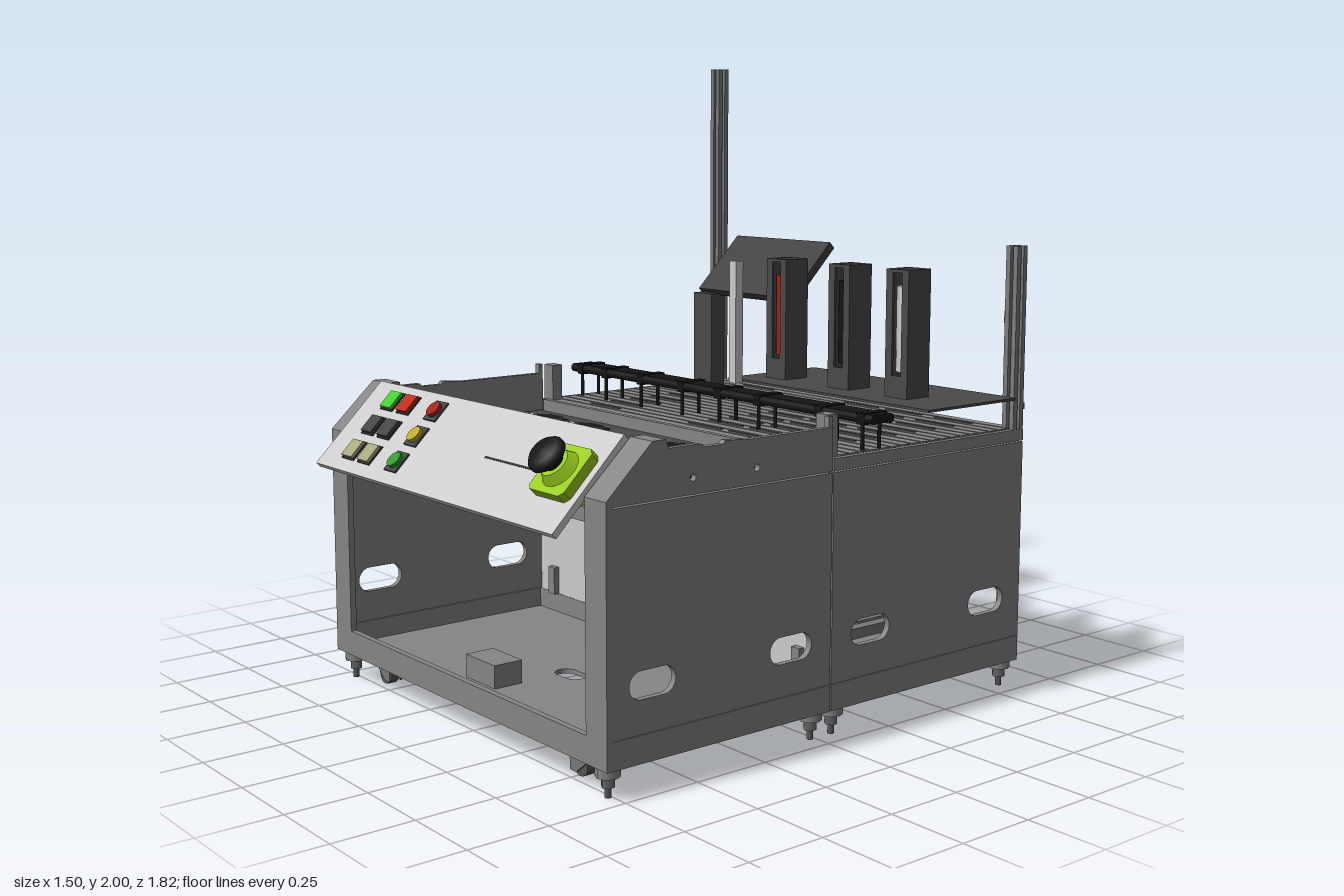
import * as THREE from 'three';

const mats = {};
const mat = (c = 0xcccccc) => (mats[c] ??= new THREE.MeshStandardMaterial({ color: c, side: THREE.DoubleSide }));
const WALL = 0x858585, DARK = 0x4a4a4a, BLACK = 0x151515, LIME = 0x9acd1e, RED = 0xa02015;

function add(parent, name, geo, color, x = 0, y = 0, z = 0) {
  const m = new THREE.Mesh(geo, mat(color));
  m.name = name;
  m.position.set(x, y, z);
  parent.add(m);
  return m;
}
// Box given by its extents on each axis
function box(parent, name, [x0, x1], [y0, y1], [z0, z1], color) {
  return add(parent, name, new THREE.BoxGeometry(x1 - x0, y1 - y0, z1 - z0), color,
    (x0 + x1) / 2, (y0 + y1) / 2, (z0 + z1) / 2);
}
const cyl = (parent, name, r0, r1, h, color, x, y, z, n = 24) =>
  add(parent, name, new THREE.CylinderGeometry(r0, r1, h, n), color, x, y, z);
const poly = (pts) => new THREE.Shape(pts.map(([a, b]) => new THREE.Vector2(a, b)));
const extrude = (shape, depth) =>
  new THREE.ExtrudeGeometry(shape, { depth, bevelEnabled: false, curveSegments: 12 });

// Oblong hole
function oblong(cx, cy, w, h) {
  const p = new THREE.Path(), r = h / 2, d = w / 2 - r;
  p.absarc(cx + d, cy, r, -Math.PI / 2, Math.PI / 2);
  p.absarc(cx - d, cy, r, Math.PI / 2, Math.PI * 1.5);
  p.closePath();
  return p;
}

// Slotted aluminium profile, standing upright
function profilePost(parent, name, x, z, y0, y1, s = 0.046) {
  const h = s / 2, g = s * 0.12, d = s * 0.28, pts = [];
  for (let i = 0; i < 4; i++) {
    const c = Math.round(Math.cos(i * Math.PI / 2)), n = Math.round(Math.sin(i * Math.PI / 2));
    for (const [a, b] of [[h, -h], [h, -g], [h - d, -g], [h - d, g], [h, g]])
      pts.push([a * c - b * n, a * n + b * c]);
  }
  const geo = extrude(poly(pts), y1 - y0).rotateX(-Math.PI / 2);
  add(parent, name, geo, 0x7c7c7c, x, y0, z);
}

function buildBase(g) {
  // Two floor pans with rims and a central oblong hole
  for (const [z0, z1] of [[-0.85, -0.022], [-0.018, 0.8]]) {
    const s = poly([[-0.745, -z0], [-0.745, -z1], [0.735, -z1], [0.735, -z0]]);
    s.holes.push(oblong(0, -(z0 + z1) / 2, 0.12, 0.07));
    add(g, 'floorPan', extrude(s, 0.015).rotateX(-Math.PI / 2), WALL, 0, 0.09, 0);
    for (const z of [z0, z1 - 0.02]) box(g, 'panRim', [-0.745, 0.735], [0.09, 0.17], [z, z + 0.02], WALL);
    for (const x of [-0.745, 0.715]) box(g, 'panSideRim', [x, x + 0.02], [0.09, 0.17], [z0, z1], WALL);
  }
  box(g, 'floorBox', [-0.18, -0.02], [0.105, 0.178], [0.56, 0.66], WALL);
  // Rail frame on the rear floor
  for (const x of [-0.26, -0.2, 0.2, 0.26]) box(g, 'floorRail', [x - 0.02, x + 0.02], [0.105, 0.14], [-0.78, -0.1], 0x777777);
  for (const z of [-0.62, -0.25]) box(g, 'floorCrossRail', [-0.24, 0.24], [0.105, 0.135], [z - 0.02, z + 0.02], 0x777777);

  // Levelling feet and casters
  for (const sx of [-1, 1]) for (const [z, dz] of [[0.76, -0.04], [0.015, 0.04], [-0.07, -0.04], [-0.82, 0.04]]) {
    const x = sx * 0.69 - 0.005;
    cyl(g, 'footBracket', 0.036, 0.036, 0.03, WALL, x, 0.075, z, 8);
    cyl(g, 'footNut', 0.02, 0.02, 0.03, 0x666666, x, 0.045, z, 6);
    cyl(g, 'footStem', 0.01, 0.01, 0.06, 0x555555, x, 0.03, z, 10);
    const cx = sx * 0.55, cz = z + dz * 0.8;
    box(g, 'casterPlate', [cx - 0.05, cx + 0.05], [0.075, 0.09], [cz - 0.035, cz + 0.035], 0x777777);
    const w = cyl(g, 'casterWheel', 0.034, 0.034, 0.03, 0x555555, cx - sx * 0.015, 0.046, cz, 18);
    w.rotation.x = Math.PI / 2;
    const fork = extrude(poly([[0.05, 0.08], [-0.05, 0.08], [-0.05, 0.025], [-0.02, 0.025]]), 0.006);
    if (sx < 0) fork.rotateY(Math.PI);
    for (const o of [-0.02, 0.02]) add(g, 'casterFork', fork, 0x777777, cx, 0, cz + o);
  }
}

function buildWalls(g) {
  const lower = [[[-0.8, 0.016], [-0.645, -0.14]], [[0.021, 0.85], [0.18, 0.69]]]; // along -z
  const upperFront = [[-0.8, 0.808], [-0.8, 0.825], [-0.645, 0.97], [-0.6, 0.97], [-0.59, 0.945], [-0.48, 0.945],
    [-0.47, 0.935], [-0.4, 0.935], [-0.39, 0.945], [-0.3, 0.938], [0, 0.938], [0, 0.97], [0.016, 0.97], [0.016, 0.808]];
  for (const x of [-0.745, 0.715]) {
    const side = (shape, name) => add(g, name, extrude(shape, 0.02).rotateY(Math.PI / 2), WALL, x, 0, 0);
    for (const [[a, b], holes] of lower) {
      const s = poly([[a, 0.172], [b, 0.172], [b, 0.804], [a, 0.804]]);
      for (const h of holes) s.holes.push(oblong(h, 0.31, 0.16, 0.08));
      side(s, 'sideWall');
    }
    const up = poly(upperFront);
    for (const h of [-0.505, -0.275]) up.holes.push(oblong(h, 0.855, 0.021, 0.02));
    side(up, 'frontCheek');
    side(poly([[0.021, 0.808], [0.85, 0.808], [0.85, 0.845], [0.021, 0.845]]), 'rearRail');
  }
  // Corner faces, sloped caps and rear flanges
  for (const [a, b] of [[-0.745, -0.65], [0.64, 0.735]]) {
    box(g, 'frontCorner', [a, b], [0.17, 0.825], [0.78, 0.8], WALL);
    add(g, 'cornerCap', extrude(poly([[-0.8, 0.81], [-0.8, 0.825], [-0.645, 0.97], [-0.6, 0.97], [-0.6, 0.95], [-0.64, 0.95], [-0.785, 0.81]]), b - a)
      .rotateY(Math.PI / 2), WALL, a, 0, 0);
    const c = a < 0 ? -0.72 : 0.66;
    box(g, 'rearFlange', [c, c + 0.05], [0.17, 0.82], [-0.85, -0.83], WALL);
    box(g, 'middlePost', [c, c + 0.05], [0.105, 0.97], [-0.06, -0.02], WALL);
    box(g, 'dividerTab', a < 0 ? [-0.65, -0.615] : [0.605, 0.64], [0.17, 0.265], [0.0, 0.02], WALL);
  }
  box(g, 'divider', [-0.72, 0.715], [0.105, 0.8], [-0.015, 0], 0xcccccc);
  for (const [z, y] of [[-0.84, 0.8], [0.77, 0.75]]) box(g, 'crossRail', [-0.72, 0.71], [y, y + 0.04], [z - 0.01, z + 0.01], WALL);
}

function buildRearDeck(g) {
  // Slatted table top
  box(g, 'deckSheet', [-0.725, 0.715], [0.825, 0.838], [-0.845, -0.02], 0x6a6a6a);
  for (let i = 0; i < 19; i++) {
    const z = -0.825 + i * 0.0435;
    box(g, 'deckSlat', [-0.72, 0.71], [0.838, 0.848], [z - 0.018, z + 0.018], WALL);
    box(g, 'deckRib', [-0.72, 0.71], [0.81, 0.826], [z - 0.01, z + 0.01], 0x6a6a6a);
    if (i % 2) for (const x of [-0.45, 0.08, 0.28, 0.5])
      box(g, 'slotStrip', [x - 0.08, x + 0.08], [0.848, 0.851], [z - 0.006, z + 0.006], 0x606060);
  }
  profilePost(g, 'tallPost', -0.727, -0.825, 0.845, 2);
  profilePost(g, 'shortPost', 0.712, -0.825, 0.845, 1.425);
  box(g, 'postLatch', [0.68, 0.692], [1.18, 1.22], [-0.84, -0.81], 0x888888);
  box(g, 'smallSensor', [0.68, 0.7], [0.9, 0.92], [-0.895, -0.875], 0x666666);

  // Black guide beam on thin legs
  box(g, 'guideBeam', [-0.75, 0.742], [0.93, 0.957], [-0.245, -0.17], BLACK);
  for (const z of [-0.24, -0.175]) {
    const r = cyl(g, 'beamEdge', 0.015, 0.015, 1.5, BLACK, -0.004, 0.943, z, 12);
    r.rotation.z = Math.PI / 2;
  }
  for (const x of [-0.7, -0.56, -0.36, -0.14, 0.05, 0.24, 0.52, 0.7]) {
    box(g, 'beamClamp', [x - 0.015, x + 0.015], [0.925, 0.96], [-0.258, -0.16], BLACK);
    for (const z of [-0.24, -0.17]) cyl(g, 'beamLeg', 0.006, 0.006, 0.09, BLACK, x, 0.89, z, 8);
  }

  // Raised plate with three towers
  box(g, 'towerPlate', [-0.185, 0.738], [0.94, 0.948], [-0.81, -0.41], DARK);
  for (const [x, c] of [[-0.058, RED], [0.243, BLACK], [0.503, 0xcccccc]]) {
    const t = new THREE.Group();
    t.name = 'tower';
    t.position.set(x, 0.948, -0.56);
    g.add(t);
    box(t, 'towerBack', [-0.048, 0.048], [0, 0.4], [-0.05, -0.042], DARK);
    for (const s of [-1, 1]) {
      add(t, 'towerSide', new THREE.BoxGeometry(0.008, 0.4, 0.09), DARK, s * 0.044, 0.2, 0);
      add(t, 'towerLip', new THREE.BoxGeometry(0.028, 0.4, 0.008), DARK, s * 0.034, 0.2, 0.046);
    }
    box(t, 'towerSill', [-0.048, 0.048], [0, 0.07], [0.042, 0.05], DARK);
    const top = poly([[-0.048, -0.05], [0.048, -0.05], [0.048, 0.05], [-0.048, 0.05]]);
    top.holes.push(oblong(0, 0, 0.0721, 0.072));
    add(t, 'towerTop', extrude(top, 0.01).rotateX(-Math.PI / 2), DARK, 0, 0.395, 0);
    cyl(t, 'towerStack', 0.036, 0.036, 0.27, c, 0, 0.215, 0, 8);
  }
  box(g, 'lightPost', [-0.076, -0.044], [0.95, 1.355], [-0.35, -0.318], 0xcccccc);

  // Tilted screen on its column
  box(g, 'screenColumn', [-0.7, -0.6], [0.848, 1.185], [-0.745, -0.682], DARK);
  const s = add(g, 'screen', new THREE.BoxGeometry(0.5, 0.265, 0.03), 0x404040, -0.45, 1.282, -0.81);
  s.rotation.x = -Math.PI / 4;
}

function buildFrontDeck(g) {
  box(g, 'frontDeck', [-0.715, 0.71], [0.79, 0.81], [-0.01, 0.63], DARK);
  box(g, 'deckStrip', [-0.64, 0.62], [0.81, 0.813], [0.262, 0.288], 0x777777);
  box(g, 'deckStrip', [-0.64, 0.62], [0.81, 0.813], [0.485, 0.515], 0x777777);
  box(g, 'deckBackRail', [-0.7, 0.7], [0.81, 0.85], [-0.02, 0], WALL);
  box(g, 'deckFrontRail', [-0.715, 0.71], [0.81, 0.94], [0.615, 0.635], WALL);
  // Instrument modules
  for (const x of [-0.425, -0.2, 0.265, 0.51]) {
    const m = new THREE.Group();
    m.name = 'module';
    m.position.set(x, 0.81, 0.305);
    g.add(m);
    const body = poly([[-0.11, -0.14], [0.108, -0.14], [0.108, 0.14], [-0.03, 0.14], [-0.06, 0.115], [-0.11, 0.115]]);
    add(m, 'moduleBody', extrude(body, 0.035).rotateX(-Math.PI / 2), 0x343a3d);
    box(m, 'socket', [-0.06, 0.015], [0.035, 0.042], [-0.1, -0.01], 0x262a2c);
    box(m, 'chipFrame', [-0.045, 0.005], [0.042, 0.046], [-0.085, -0.025], 0xcccccc);
    box(m, 'chip', [-0.032, -0.008], [0.046, 0.049], [-0.068, -0.04], 0xd08040);
    for (let i = 0; i < 4; i++) {
      const fx = 0.032 + i * 0.02;
      box(m, 'fin', [fx, fx + 0.012], [0.035, 0.045], [-0.12, 0.04], 0x50585c);
    }
    box(m, 'redConnector', [0.035, 0.095], [0.035, 0.055], [0.06, 0.09], RED);
    box(m, 'slotBar', [-0.095, 0.01], [0.035, 0.04], [0.05, 0.062], 0x666e70);
    box(m, 'redBar', [-0.03, 0.07], [0.035, 0.04], [0.098, 0.104], RED);
    box(m, 'orangeTerminal', [-0.1, -0.06], [0.035, 0.042], [0.122, 0.134], 0xd06020);
  }
}

function buildControlPanel(g) {
  const p = new THREE.Group();
  p.name = 'controlPanel';
  p.position.set(0, 0.85, 0.775);
  p.rotation.x = -Math.PI / 4;
  g.add(p);
  box(p, 'panelPlate', [-0.663, 0.635], [-0.17, 0.17], [-0.01, 0.01], 0xcccccc);
  // Square push buttons
  const rows = [0.106, 0.007, -0.092];
  [[0x40d030, 0xc02818], [0x444444, 0x444444], [0xa8a880, 0xa8a880]].forEach((cols, r) => cols.forEach((c, i) => {
    const x = -0.51 + i * 0.097;
    box(p, 'buttonFrame', [x - 0.036, x + 0.036], [rows[r] - 0.036, rows[r] + 0.036], [-0.05, 0.014], 0x333333);
    box(p, 'button', [x - 0.031, x + 0.031], [rows[r] - 0.031, rows[r] + 0.031], [0.014, 0.024], c);
  }));
  // Indicator lamps
  [RED, 0xc0a820, 0x2f9a28].forEach((c, r) => {
    box(p, 'lampFrame', [-0.283, -0.217], [rows[r] - 0.036, rows[r] + 0.036], [-0.05, 0.016], 0x444444);
    cyl(p, 'lamp', 0.026, 0.026, 0.014, c, -0.25, rows[r], 0.022).rotation.x = Math.PI / 2;
  });
  box(p, 'panelSlot', [0.135, 0.41], [-0.003, 0.003], [0.01, 0.0115], 0x333333);
  // Emergency stop
  const base = extrude(oblong(0, 0, 0.04, 0.0399) && poly([[-0.08, -0.065], [-0.065, -0.08], [0.065, -0.08], [0.08, -0.065],
    [0.08, 0.065], [0.065, 0.08], [-0.065, 0.08], [-0.08, 0.065]]), 0.03);
  add(p, 'stopBase', base, LIME, 0.53, 0.007, 0.01);
  box(p, 'stopHousing', [0.47, 0.59], [-0.05, 0.06], [-0.05, -0.01], LIME);
  cyl(p, 'stopCollar', 0.045, 0.06, 0.03, LIME, 0.53, 0.007, 0.055).rotation.x = Math.PI / 2;
  cyl(p, 'stopNeck', 0.03, 0.03, 0.03, BLACK, 0.53, 0.007, 0.08).rotation.x = Math.PI / 2;
  const cap = [[0, 0], [0.045, 0], [0.058, 0.012], [0.058, 0.024], [0.045, 0.038], [0, 0.042]].map(([a, b]) => new THREE.Vector2(a, b));
  add(p, 'stopButton', new THREE.LatheGeometry(cap, 28), BLACK, 0.53, 0.007, 0.085).rotation.x = Math.PI / 2;
}

export function createModel() {
  const g = new THREE.Group();
  g.name = 'workstation';
  [buildBase, buildWalls, buildRearDeck, buildFrontDeck, buildControlPanel].forEach((f) => f(g));
  return g;
}
